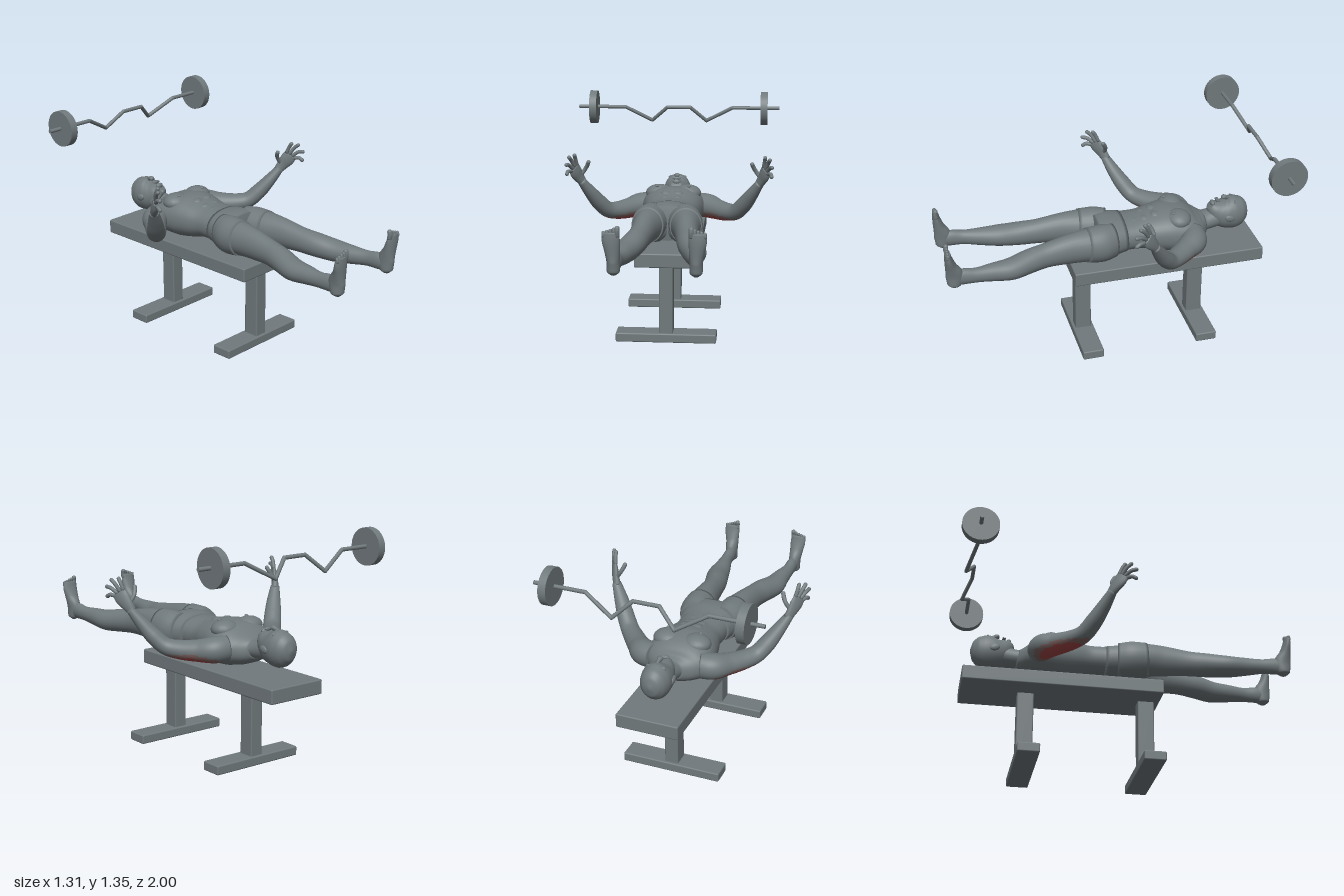
import * as THREE from 'three';
import { RoundedBoxGeometry } from 'three/addons/geometries/RoundedBoxGeometry.js';

const V = (x, y, z) => new THREE.Vector3(x, y, z);
const paint = (name, color) => Object.assign(new THREE.MeshStandardMaterial({ color }), { name });

export function createModel() {
  const grey = paint('grey', 0x70797c);
  const red = paint('muscleRed', 0xa04444);
  const blush = paint('fadedRed', 0x7d6260);
  const model = new THREE.Group();
  model.name = 'benchExercise';
  const group = (name) => {
    const g = new THREE.Group();
    g.name = name;
    model.add(g);
    return g;
  };
  const add = (parent, name, geo, mat = grey) => {
    const m = new THREE.Mesh(geo, mat);
    m.name = name;
    parent.add(m);
    return m;
  };

  // Smooth closed skin through rings [x, y, z, halfWidth, halfHeight]; side mirrors x.
  // shade(t, angle) picks the material index of each quad.
  function loft(rings, { side = 1, ref = V(0, 1, 0), steps = 5, sides = 28, power = 2, shade } = {}) {
    const path = new THREE.CatmullRomCurve3(rings.map((r) => V(r[0] * side, r[1], r[2])));
    const size = new THREE.CatmullRomCurve3(rings.map((r) => V(r[3], r[4], 0)));
    const n = (rings.length - 1) * steps;
    const up0 = V(ref.x * side, ref.y, ref.z);
    const pos = [];
    const faces = [[], [], []];
    const bend = (v) => Math.sign(v) * Math.abs(v) ** (2 / power);
    for (let i = 0; i <= n; i++) {
      const p = path.getPoint(i / n), s = size.getPoint(i / n), t = path.getTangent(i / n);
      const across = V().crossVectors(up0, t).normalize();
      const up = V().crossVectors(t, across);
      for (let j = 0; j < sides; j++) {
        const a = (j / sides) * Math.PI * 2;
        const q = p.clone().addScaledVector(across, bend(Math.cos(a)) * s.x).addScaledVector(up, bend(Math.sin(a)) * s.y);
        pos.push(q.x, q.y, q.z);
        if (i === n) continue;
        const k = (j + 1) % sides, b = i * sides, c = b + sides;
        const id = shade ? shade((i + 0.5) / n, a + Math.PI / sides) : 0;
        faces[id].push(b + j, b + k, c + j, b + k, c + k, c + j);
      }
    }
    // End caps
    for (const end of [0, n]) {
      const p = path.getPoint(end / n), mid = pos.length / 3, b = end * sides;
      pos.push(p.x, p.y, p.z);
      for (let j = 0; j < sides; j++) {
        const k = (j + 1) % sides;
        faces[0].push(mid, ...(end ? [b + j, b + k] : [b + k, b + j]));
      }
    }
    const geo = new THREE.BufferGeometry();
    geo.setAttribute('position', new THREE.Float32BufferAttribute(pos, 3));
    geo.setIndex(faces.flat());
    if (shade) {
      let start = 0;
      faces.forEach((f, i) => {
        geo.addGroup(start, f.length, i);
        start += f.length;
      });
    }
    geo.computeVertexNormals();
    return geo;
  }
  const blob = (parent, name, x, y, z, rx, ry, rz) => {
    const m = add(parent, name, new THREE.SphereGeometry(1, 20, 14));
    m.position.set(x, y, z);
    m.scale.set(rx, ry, rz);
    return m;
  };
  // Rounded digit through a list of points
  const digit = (parent, name, pts, r, side, ref) => {
    const last = pts[pts.length - 1];
    add(parent, name, loft(pts.map((p) => [...p, r, r]), { side, ref, sides: 10 }));
    blob(parent, name + 'Tip', last[0] * side, last[1], last[2], r, r, r);
  };

  // Bench
  const bench = group('bench');
  const box = (name, w, h, d, y, z) => add(bench, name, new RoundedBoxGeometry(w, h, d, 2, 0.008)).position.set(0, y, z);
  box('benchPad', 0.37, 0.085, 1.17, 0.503, -0.35);
  for (const z of [0.155, -0.555]) {
    box('benchPost', 0.082, 0.43, 0.097, 0.255, z);
    box('benchFoot', 0.595, 0.055, 0.128, 0.0275, z);
  }

  // Curl bar with bent grip and two plates
  const barbell = group('barbell');
  const half = [V(0.655, 1.245, -0.893), V(0.35, 1.245, -0.893), V(0.178, 1.152, -0.943), V(0.075, 1.245, -0.893), V(0, 1.245, -0.893)];
  const bar = [...half, ...half.slice(0, 4).reverse().map((p) => V(-p.x, p.y, p.z))];
  for (let i = 0; i + 1 < bar.length; i++) {
    const d = bar[i + 1].clone().sub(bar[i]);
    const rod = add(barbell, 'barSegment', new THREE.CylinderGeometry(0.0115, 0.0115, d.length(), 14));
    rod.position.copy(bar[i]).addScaledVector(d, 0.5);
    rod.quaternion.setFromUnitVectors(V(0, 1, 0), d.normalize());
    if (i) blob(barbell, 'barBend', ...bar[i].toArray(), 0.0115, 0.0115, 0.0115);
  }
  for (const x of [0.555, -0.555]) {
    const plate = add(barbell, 'weightPlate', new THREE.CylinderGeometry(0.107, 0.107, 0.046, 48));
    plate.rotation.z = Math.PI / 2;
    plate.position.set(x, 1.243, -0.893);
  }

  // Torso and neck
  const body = group('body');
  const trunk = [
    [0, 0.685, -0.61, 0.07, 0.055], [0, 0.678, -0.565, 0.14, 0.08], [0, 0.677, -0.52, 0.185, 0.1],
    [0, 0.685, -0.45, 0.195, 0.125], [0, 0.688, -0.37, 0.187, 0.132], [0, 0.688, -0.28, 0.168, 0.118],
    [0, 0.69, -0.18, 0.145, 0.098], [0, 0.69, -0.1, 0.148, 0.098], [0, 0.688, 0, 0.172, 0.108], [0, 0.69, 0.07, 0.16, 0.1],
  ];
  add(body, 'torso', loft(trunk, { power: 2.25, sides: 40 }));
  add(body, 'neck', loft([[0, 0.71, -0.74, 0.06, 0.06], [0, 0.695, -0.67, 0.065, 0.06], [0, 0.685, -0.61, 0.073, 0.057], [0, 0.68, -0.54, 0.11, 0.07]]));
  const grow = (r, e) => [r[0], r[1], r[2], r[3] + e, r[4] + e];
  add(body, 'shorts', loft(trunk.slice(7).map((r) => grow(r, 0.004)), { power: 2.25, sides: 40 }));

  // Head
  add(body, 'head', loft([
    [0, 0.72, -0.886, 0.008, 0.01], [0, 0.72, -0.872, 0.047, 0.057], [0, 0.72, -0.84, 0.075, 0.09], [0, 0.718, -0.79, 0.087, 0.106],
    [0, 0.721, -0.74, 0.084, 0.099], [0, 0.737, -0.7, 0.071, 0.082], [0, 0.763, -0.667, 0.053, 0.05], [0, 0.782, -0.648, 0.03, 0.025],
  ]));
  add(body, 'nose', loft([[0, 0.812, -0.78, 0.007, 0.008], [0, 0.82, -0.75, 0.011, 0.014], [0, 0.826, -0.73, 0.017, 0.014], [0, 0.818, -0.72, 0.012, 0.006]], { sides: 14 }));
  for (const z of [-0.695, -0.686]) blob(body, 'lip', 0, 0.813, z, 0.025, 0.009, 0.006);
  blob(body, 'chin', 0, 0.795, -0.662, 0.026, 0.017, 0.015);

  // Chain of leg sections from hip to ankle
  const leg = [
    [0.09, 0.69, -0.02, 0.08, 0.1], [0.105, 0.69, 0.06, 0.096, 0.108], [0.113, 0.695, 0.15, 0.088, 0.1], [0.122, 0.693, 0.25, 0.073, 0.092],
    [0.137, 0.682, 0.4, 0.064, 0.075], [0.157, 0.672, 0.5, 0.069, 0.071], [0.187, 0.659, 0.61, 0.069, 0.064], [0.198, 0.662, 0.72, 0.053, 0.054],
    [0.211, 0.667, 0.83, 0.036, 0.045], [0.213, 0.672, 0.9, 0.034, 0.05], [0.216, 0.67, 0.95, 0.03, 0.045],
  ];
  // Arm sections from shoulder to wrist
  const arm = [
    [0.14, 0.685, -0.5, 0.07, 0.075], [0.21, 0.682, -0.478, 0.078, 0.075], [0.275, 0.675, -0.41, 0.066, 0.063], [0.34, 0.676, -0.335, 0.06, 0.055],
    [0.395, 0.692, -0.275, 0.054, 0.049], [0.445, 0.75, -0.225, 0.051, 0.047], [0.49, 0.82, -0.18, 0.042, 0.038], [0.54, 0.9, -0.135, 0.027, 0.025],
  ];
  // Highlighted muscle on the underside of the upper arm, with a faded rim
  const triceps = (t, a) => {
    const d = Math.hypot((t - 0.33) / 0.26, (a - Math.PI * 1.5) / 1.35);
    return d < 0.72 ? 1 : d < 1 ? 2 : 0;
  };
  const palmRef = V(-0.82, -0.11, 0.55);
  const fingers = [
    [[0.559, 1.003, -0.1], [0.566, 1.045, -0.082], [0.568, 1.066, -0.068]],
    [[0.57, 0.994, -0.087], [0.588, 1.038, -0.06], [0.596, 1.058, -0.037]],
    [[0.58, 0.984, -0.073], [0.6, 1.012, -0.038], [0.609, 1.018, -0.01]],
    [[0.588, 0.97, -0.062], [0.603, 0.974, -0.032], [0.607, 0.963, -0.012]],
  ];

  for (const side of [1, -1]) {
    const tag = side > 0 ? 'left' : 'right';
    // Face and trunk details
    blob(body, tag + 'Brow', 0.033 * side, 0.802, -0.79, 0.026, 0.013, 0.008);
    blob(body, tag + 'Eye', 0.033 * side, 0.8, -0.768, 0.015, 0.011, 0.008);
    blob(body, tag + 'Ear', 0.084 * side, 0.718, -0.748, 0.011, 0.021, 0.031).rotation.x = -0.3;
    blob(body, tag + 'Pectoral', 0.088 * side, 0.775, -0.42, 0.085, 0.052, 0.075);
    blob(body, tag + 'Nipple', 0.1 * side, 0.823, -0.385, 0.011, 0.006, 0.011);
    blob(body, tag + 'Buttock', 0.08 * side, 0.645, 0.03, 0.088, 0.075, 0.09);
    [-0.29, -0.225, -0.16].forEach((z, i) => blob(body, tag + 'Abdominal', 0.036 * side, [0.794, 0.777, 0.769][i], z, 0.034, 0.018, 0.032));

    // Leg, shorts sleeve and kneecap
    const legGroup = group(tag + 'Leg');
    add(legGroup, 'leg', loft(leg, { side }));
    add(legGroup, 'shortsLeg', loft(leg.slice(0, 3).map((r) => grow(r, 0.006)), { side }));
    blob(legGroup, 'kneecap', 0.15 * side, 0.715, 0.47, 0.04, 0.034, 0.045);

    // Foot with toes pointing up
    add(legGroup, 'foot', loft([
      [0.218, 0.613, 0.952, 0.012, 0.015], [0.218, 0.632, 0.95, 0.034, 0.04], [0.218, 0.69, 0.945, 0.036, 0.052],
      [0.222, 0.755, 0.963, 0.042, 0.034], [0.227, 0.81, 0.974, 0.048, 0.023], [0.227, 0.852, 0.978, 0.045, 0.015],
    ], { side, ref: V(0, 0, 1) }));
    for (let i = 0; i < 5; i++) {
      const x = 0.193 + i * 0.018, r = i ? 0.0095 : 0.014, top = 0.873 - i * 0.006;
      digit(legGroup, 'toe', [[x, 0.83, 0.978], [x, top - 0.015, 0.982], [x, top, 0.979]], r, side, V(0, 0, 1));
    }

    // Arm and hand
    const armGroup = group(tag + 'Arm');
    add(armGroup, 'arm', loft(arm, { side, steps: 8, sides: 36, shade: triceps }), [grey, red, blush]);
    add(armGroup, 'palm', loft([
      [0.53, 0.885, -0.145, 0.026, 0.023], [0.55, 0.925, -0.122, 0.036, 0.02], [0.565, 0.96, -0.098, 0.044, 0.018], [0.576, 0.99, -0.08, 0.041, 0.013],
    ], { side, ref: palmRef }));
    for (const f of fingers) digit(armGroup, 'finger', f, 0.0115, side, palmRef);
    digit(armGroup, 'thumb', [[0.54, 0.935, -0.13], [0.513, 0.973, -0.133], [0.497, 1.002, -0.122], [0.491, 1.018, -0.113]], 0.0125, side, palmRef);
  }
  return model;
}
